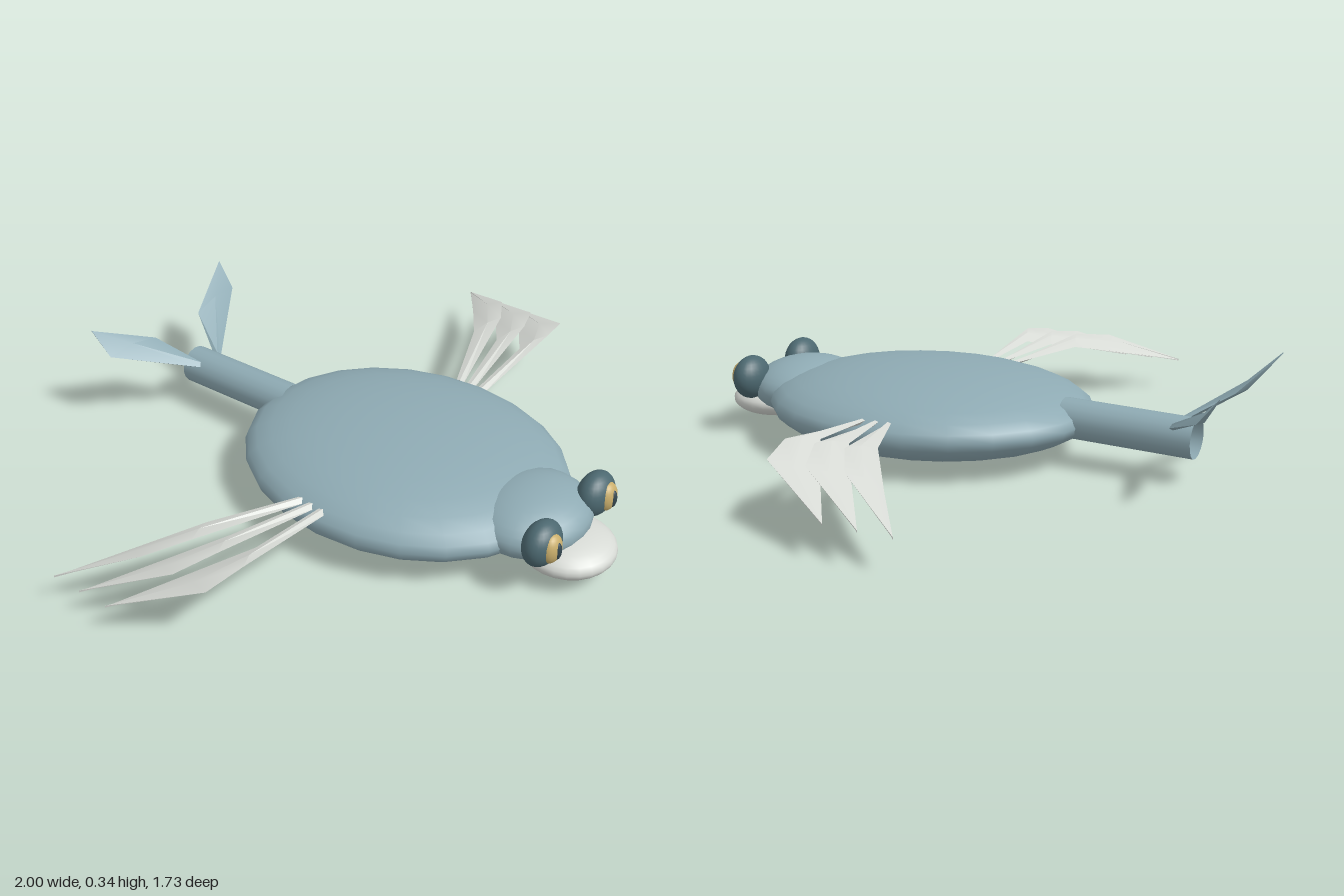
import * as THREE from 'three';
import { toCreasedNormals } from 'three/addons/utils/BufferGeometryUtils.js';

const mat = (name, color, side = THREE.FrontSide) => {
  const m = new THREE.MeshStandardMaterial({ color, side });
  m.name = name;
  return m;
};

// Lofts diamond sections, each given by its rear and front edge points and half thickness
function bladeGeometry(sections) {
  const rings = sections.map(([rear, front, t]) => {
    const mid = rear.map((v, i) => (v + front[i]) / 2);
    return [rear, [mid[0], mid[1] + t, mid[2]], front, [mid[0], mid[1] - t, mid[2]]];
  });
  const index = [];
  for (let i = 0; i < rings.length - 1; i++) {
    for (let j = 0; j < 4; j++) {
      const a = i * 4 + j, b = i * 4 + (j + 1) % 4;
      index.push(a, b, a + 4, b, b + 4, a + 4);
    }
  }
  index.push(0, 2, 1, 0, 3, 2);
  const g = new THREE.BufferGeometry();
  g.setAttribute('position', new THREE.Float32BufferAttribute(rings.flat(2), 3));
  g.setIndex(index);
  return toCreasedNormals(g, 0.6);
}

export function createModel() {
  const model = new THREE.Group();
  model.name = 'flatSwimmer';

  const skin = mat('blueGreySkin', 0x8eaab3);
  const skinThin = mat('blueGreyThinSkin', 0x8eaab3, THREE.DoubleSide);
  const pale = mat('paleMouth', 0xd6d9d4);
  const paleThin = mat('paleFin', 0xd6d9d4, THREE.DoubleSide);
  const slate = mat('slateEye', 0x4c6870);
  const gold = mat('goldIris', 0xc9ae6c);
  const dark = mat('darkPupil', 0x35474f);

  const add = (name, geometry, material) => {
    const mesh = new THREE.Mesh(geometry, material);
    mesh.name = name;
    model.add(mesh);
    return mesh;
  };
  const ellipsoid = (name, material, [x, y, z], [rx, ry, rz], w = 24, h = 16) => {
    const g = new THREE.SphereGeometry(1, w, h).scale(rx, ry, rz).translate(x, y, z);
    return add(name, g, material);
  };

  // Flat oval body, head and protruding mouth
  ellipsoid('body', skin, [0, 0.129, 0.15], [0.43, 0.127, 0.52]);
  ellipsoid('head', skin, [0, 0.138, 0.6], [0.19, 0.09, 0.17]);
  ellipsoid('mouth', pale, [0, 0.08, 0.725], [0.14, 0.055, 0.14]);

  // Open tube tail, tilted slightly down toward the back
  const tailPath = new THREE.LineCurve3(new THREE.Vector3(0, 0.143, -0.3), new THREE.Vector3(0, 0.132, -0.71));
  add('tail', new THREE.TubeGeometry(tailPath, 1, 0.06, 16, false), skinThin);

  for (const [side, s] of [['left', 1], ['right', -1]]) {
    // Bulging eye with a gold iris and upright slit pupil
    ellipsoid(side + 'Eye', slate, [s * 0.142, 0.177, 0.72], [0.073, 0.068, 0.05]);
    ellipsoid(side + 'Iris', gold, [s * 0.148, 0.178, 0.753], [0.038, 0.046, 0.028]);
    ellipsoid(side + 'Pupil', dark, [s * 0.148, 0.178, 0.772], [0.014, 0.029, 0.013], 16, 12);

    const point = (x, y, z) => [s * x, y, z];

    // Three overlapping fin feathers, fanned out along the flank
    for (let i = 0; i < 3; i++) {
      const root = 0.075 + i * 0.04, tip = -0.3 + i * 0.1;
      const end = point(1, 0.097, tip);
      add(side + 'FinFeather' + (i + 1), bladeGeometry([
        [point(0.39, 0.175, root - 0.012), point(0.39, 0.165, root + 0.012), 0.008],
        [point(0.65, 0.19, -0.05 + i * 0.09), point(0.75, 0.212, -0.01 + i * 0.093), 0.008],
        [point(0.83, 0.145, -0.175 + i * 0.095), point(0.87, 0.192, -0.085 + i * 0.118), 0.008],
        [end, end, 0.003],
      ]), paleThin);
    }

    // Raised kite-shaped tail fluke
    const tip = point(0.295, 0.337, -0.865);
    add(side + 'TailFluke', bladeGeometry([
      [point(0.03, 0.17, -0.655), point(0.045, 0.165, -0.64), 0.01],
      [point(0.1, 0.25, -0.786), point(0.285, 0.26, -0.8), 0.015],
      [tip, tip, 0.002],
    ]), skinThin);
  }

  return model;
}
